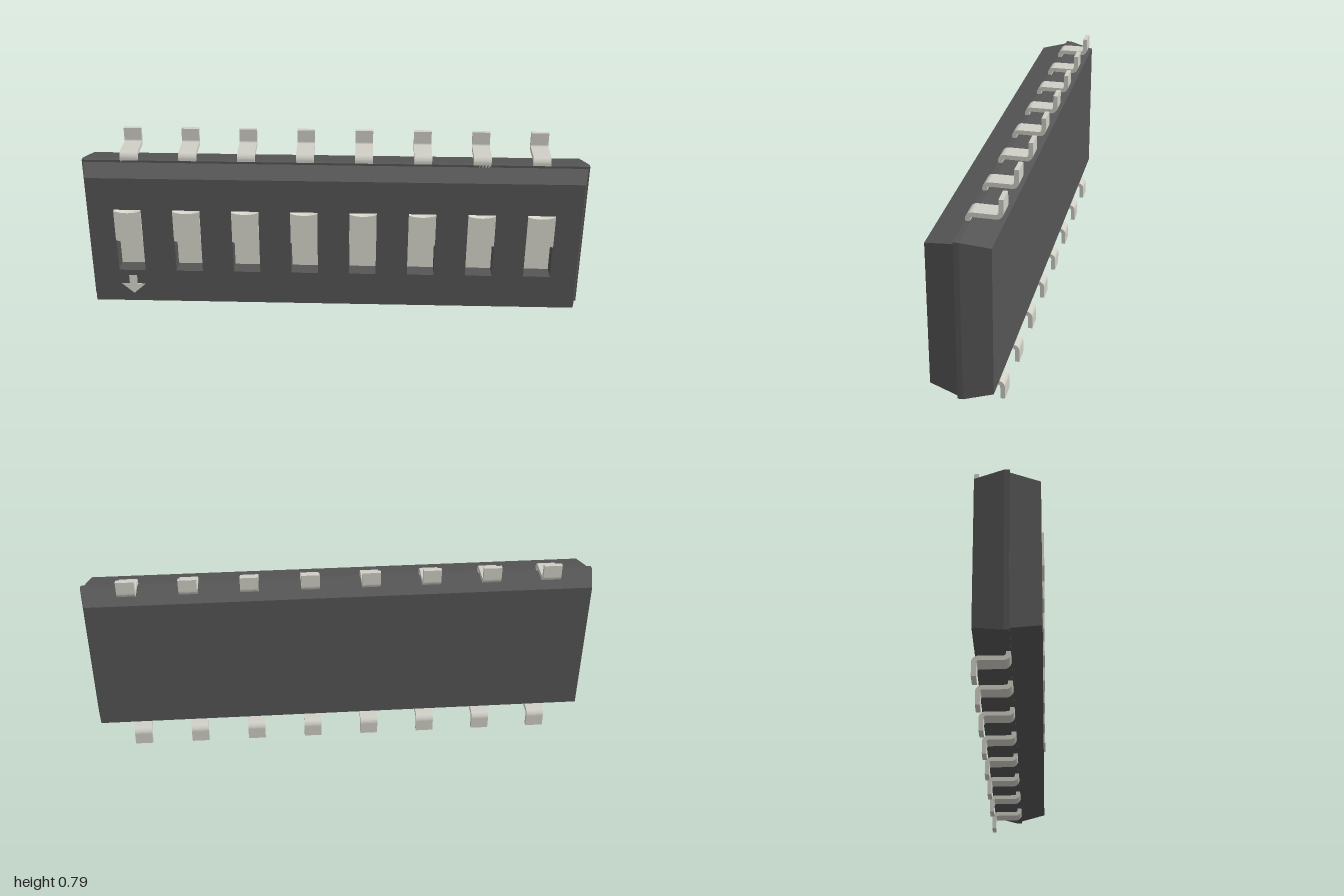
import * as THREE from 'three';

const MID = 0.395;                       // height of the body's centre line
const COUNT = 8, PITCH = 0.2323;
const FRONT = 0.115, SEAM = 0.01, BACK = -0.113;
const SLOT_W = 0.107, SLOT_LOW = 0.262, SLOT_TOP = 0.534, FLOOR = 0.05;

const dark = new THREE.MeshStandardMaterial({ color: 0x555555, flatShading: true });
const metal = new THREE.MeshStandardMaterial({ color: 0xd0cfc6 });
const ivory = new THREE.MeshStandardMaterial({ color: 0xdad9ce });

const columnX = (i) => (i - (COUNT - 1) / 2) * PITCH;

function rectangle(Type, x0, y0, x1, y1) {
  return new Type([[x0, y0], [x1, y0], [x1, y1], [x0, y1]].map(([x, y]) => new THREE.Vector2(x, y)));
}

function extrude(shape, depth, z) {
  return new THREE.ExtrudeGeometry(shape, { depth, bevelEnabled: false, curveSegments: 8 }).translate(0, 0, z);
}

// Slab whose outer outline tapers from [halfX, halfY] at z0 to another at z1; holes stay straight.
function slab(z0, [ax, ay], z1, [bx, by], holes = []) {
  const shape = rectangle(THREE.Shape, -1, MID - 0.305, 1, MID + 0.305);
  shape.holes.push(...holes);
  const geometry = extrude(shape, z1 - z0, z0);
  const p = geometry.attributes.position;
  for (let i = 0; i < p.count; i++) {
    if (Math.abs(p.getX(i)) < 0.99) continue;
    const atFar = p.getZ(i) > (z0 + z1) / 2;
    p.setX(i, Math.sign(p.getX(i)) * (atFar ? bx : ax));
    p.setY(i, MID + Math.sign(p.getY(i) - MID) * (atFar ? by : ay));
  }
  geometry.computeVertexNormals();
  return geometry;
}

// Gull-wing strip outline in the z-y plane, extruded across x
function legGeometry() {
  const s = new THREE.Shape();
  s.moveTo(0.01, 0.65);
  s.lineTo(0.01, 0.708);
  s.absarc(-0.015, 0.708, 0.025, 0, Math.PI / 2, false);
  s.lineTo(-0.096, 0.733);
  s.absarc(-0.096, 0.741, 0.008, -Math.PI / 2, -Math.PI, true);
  s.lineTo(-0.104, 0.79);
  s.lineTo(-0.121, 0.79);
  s.lineTo(-0.121, 0.741);
  s.absarc(-0.096, 0.741, 0.025, Math.PI, Math.PI * 1.5, false);
  s.lineTo(-0.015, 0.716);
  s.absarc(-0.015, 0.708, 0.008, Math.PI / 2, 0, true);
  s.lineTo(-0.007, 0.65);
  s.closePath();
  return extrude(s, 0.07, -0.035).rotateY(-Math.PI / 2).translate(0, -MID, 0);
}

// Slider knob with gently curved top and bottom edges
function sliderGeometry() {
  const h = SLOT_W / 2, low = 0.398, top = SLOT_TOP - 0.002;
  const s = new THREE.Shape();
  s.moveTo(-h, low + 0.004);
  s.quadraticCurveTo(-h / 2, low - 0.006, 0, low + 0.002);
  s.quadraticCurveTo(h / 2, low + 0.01, h, low + 0.002);
  s.lineTo(h, top);
  s.quadraticCurveTo(0, top - 0.018, -h, top);
  s.closePath();
  return extrude(s, 0.123 - FLOOR, FLOOR);
}

function arrowGeometry() {
  const pts = [[0, 0.155], [0.05, 0.2], [0.016, 0.2], [0.016, 0.238],
    [-0.016, 0.238], [-0.016, 0.2], [-0.05, 0.2]];
  return extrude(new THREE.Shape(pts.map(([x, y]) => new THREE.Vector2(x, y))), 0.002, FRONT - 0.001);
}

export function createModel() {
  const model = new THREE.Group();
  const add = (parent, name, geometry, material, x = 0) => {
    const mesh = new THREE.Mesh(geometry, material);
    mesh.name = name;
    mesh.position.x = x;
    parent.add(mesh);
    return mesh;
  };

  // Housing: slotted cover, narrow seam band and tapered base
  const slots = Array.from({ length: COUNT }, (_, i) => rectangle(THREE.Path,
    columnX(i) - SLOT_W / 2, SLOT_LOW, columnX(i) + SLOT_W / 2, SLOT_TOP));
  add(model, 'cover', slab(SEAM, [0.995, 0.296], FRONT, [0.97, 0.275], slots), dark);
  add(model, 'seamBand', slab(-0.01, [1, 0.305], SEAM, [1, 0.305]), dark);
  add(model, 'base', slab(BACK, [0.978, 0.284], -0.01, [1, 0.305]), dark);

  // Switches: a light floor in every slot and a knob in its upper half
  const switches = new THREE.Group();
  switches.name = 'switches';
  const floor = new THREE.BoxGeometry(SLOT_W, SLOT_TOP - SLOT_LOW, FLOOR - SEAM)
    .translate(0, (SLOT_TOP + SLOT_LOW) / 2, (FLOOR + SEAM) / 2);
  const knob = sliderGeometry();
  for (let i = 0; i < COUNT; i++) {
    add(switches, 'slotFloor', floor, ivory, columnX(i));
    add(switches, 'slider', knob, ivory, columnX(i));
  }
  model.add(switches);
  add(model, 'arrowMark', arrowGeometry(), ivory, columnX(0));

  // Legs: one row along the top, the same row turned over along the bottom
  const leg = legGeometry();
  ['topLegs', 'bottomLegs'].forEach((name, side) => {
    const row = new THREE.Group();
    row.name = name;
    row.position.y = MID;
    row.rotation.z = side * Math.PI;
    for (let i = 0; i < COUNT; i++) add(row, 'leg', leg, metal, columnX(i));
    model.add(row);
  });
  return model;
}
